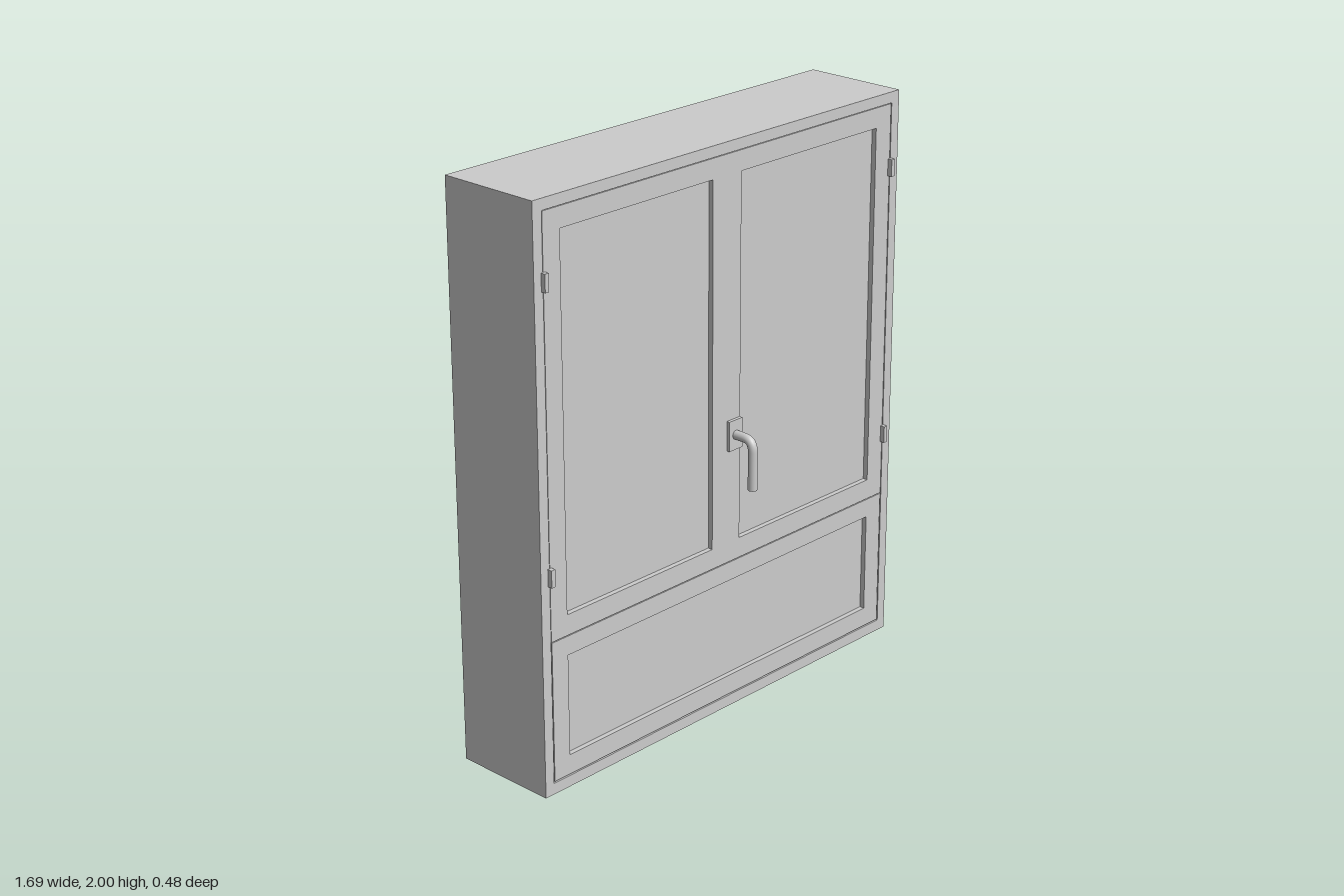
import * as THREE from 'three';

const mat = new THREE.MeshStandardMaterial({ color: 0xcccccc });
const FRONT = 0.14;

function add(parent, name, geometry, x = 0, y = 0, z = 0) {
  const mesh = new THREE.Mesh(geometry, mat);
  mesh.name = name;
  mesh.position.set(x, y, z);
  parent.add(mesh);
  return mesh;
}

function rect(target, x0, y0, x1, y1) {
  target.moveTo(x0, y0);
  target.lineTo(x1, y0);
  target.lineTo(x1, y1);
  target.lineTo(x0, y1);
  target.closePath();
  return target;
}

// Rectangular ring, given as [x0, y0, x1, y1] outside and inside
function ring(outer, inner, depth) {
  const shape = rect(new THREE.Shape(), ...outer);
  shape.holes.push(rect(new THREE.Path(), ...inner));
  return new THREE.ExtrudeGeometry(shape, { depth, bevelEnabled: false });
}

// Sash frame with a recessed pane
function addSash(parent, name, outer, inner) {
  const sash = new THREE.Group();
  sash.name = name;
  add(sash, name + 'Frame', ring(outer, inner, 0.045), 0, 0, FRONT - 0.045);
  const [x0, y0, x1, y1] = inner;
  add(sash, name + 'Pane', new THREE.BoxGeometry(x1 - x0, y1 - y0, 0.008),
    (x0 + x1) / 2, (y0 + y1) / 2, FRONT - 0.022);
  parent.add(sash);
}

export function createModel() {
  const model = new THREE.Group();
  model.name = 'window';

  // Deep outer casing, open at the back
  add(model, 'casing', ring([-0.845, 0, 0.845, 2], [-0.808, 0.04, 0.808, 1.962], 0.38), 0, 0, -0.24);

  // Two opening sashes above a fixed lower panel
  addSash(model, 'leftSash', [0, 0.543, 0.804, 1.96], [0.065, 0.615, 0.73, 1.89]);
  addSash(model, 'rightSash', [-0.806, 0.543, 0, 1.96], [-0.735, 0.615, -0.067, 1.89]);
  addSash(model, 'lowerPanel', [-0.804, 0.045, 0.803, 0.54], [-0.735, 0.115, 0.73, 0.473]);

  // Cover strip behind the meeting stiles
  add(model, 'meetingStrip', new THREE.BoxGeometry(0.035, 1.41, 0.006), 0.018, 1.252, 0.093);

  // Hinges
  for (const x of [-0.807, 0.804]) {
    for (const y of [0.77, 1.74]) {
      add(model, 'hinge', new THREE.BoxGeometry(0.016, 0.06, 0.03), x, y, FRONT + 0.002);
    }
  }

  // Lever handle: plate and bent round bar
  const handle = new THREE.Group();
  handle.name = 'handle';
  handle.position.set(0.033, 1, 0);
  add(handle, 'handlePlate', new THREE.BoxGeometry(0.062, 0.105, 0.012), 0, 0, FRONT + 0.006);
  const path = new THREE.CurvePath();
  const v = (y, z) => new THREE.Vector3(0, y, z);
  path.add(new THREE.LineCurve3(v(0, FRONT), v(0, 0.19)));
  path.add(new THREE.QuadraticBezierCurve3(v(0, 0.19), v(0, 0.227), v(-0.04, 0.227)));
  path.add(new THREE.LineCurve3(v(-0.04, 0.227), v(-0.175, 0.227)));
  add(handle, 'handleLever', new THREE.TubeGeometry(path, 40, 0.016, 16));
  const cap = add(handle, 'handleEnd', new THREE.CircleGeometry(0.016, 16), 0, -0.175, 0.227);
  cap.rotation.x = Math.PI / 2;
  model.add(handle);

  return model;
}
